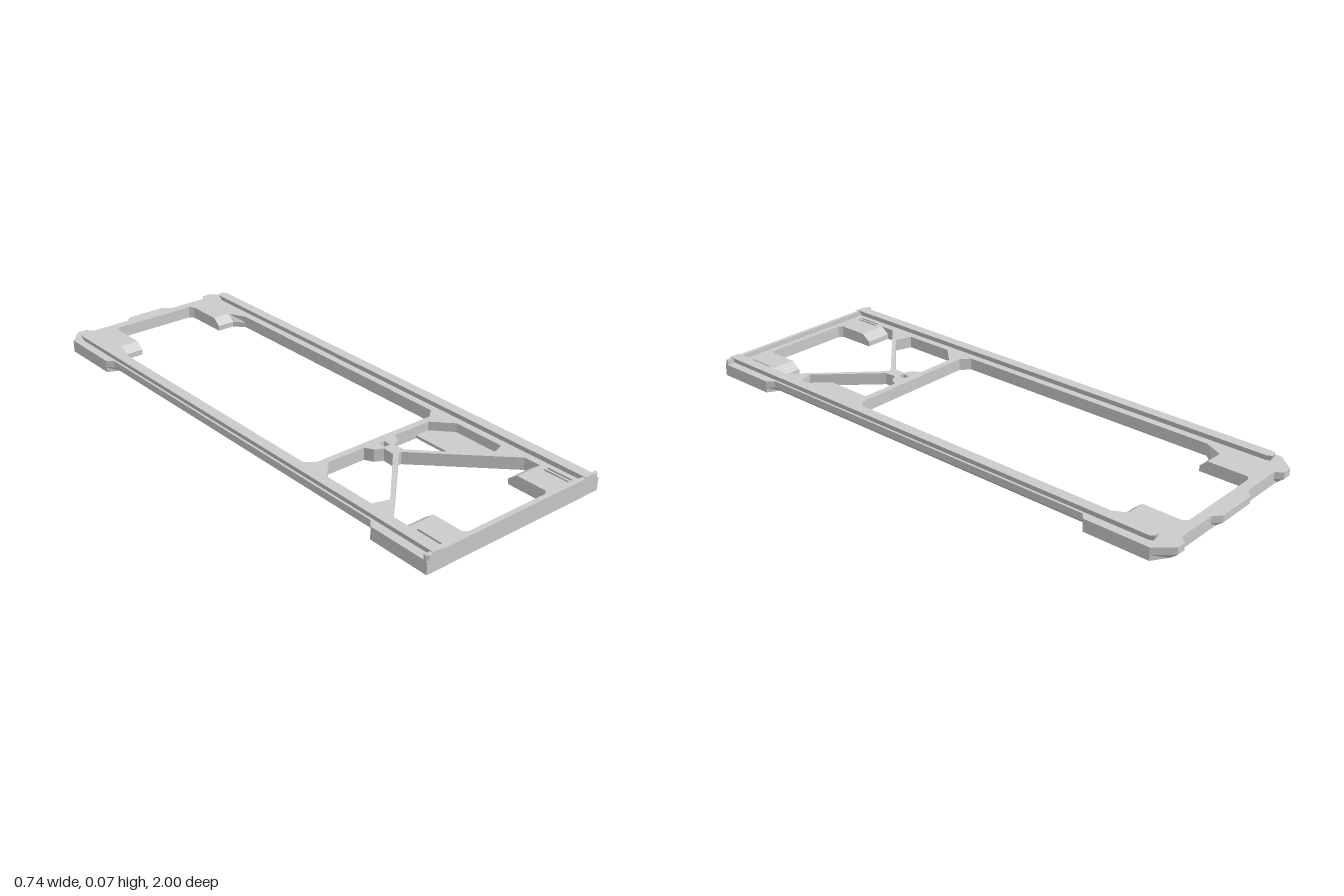
import * as THREE from 'three';

const material = new THREE.MeshStandardMaterial({ color: 0xcccccc, flatShading: true });
const near = (a, b) => Math.abs(a - b) < 0.0015;

// Points are [x, z]; mirrored() completes a half outline drawn on +x.
const mirrored = (half) => half.concat(half.map(([x, z]) => [-x, z]).reverse());
const flip = (pts) => pts.map(([x, z]) => [-x, z]).reverse();
const vectors = (pts) => pts.map(([x, z]) => new THREE.Vector2(x, z));
const rect = (x, z, w, d) => [[x - w / 2, z - d / 2], [x + w / 2, z - d / 2], [x + w / 2, z + d / 2], [x - w / 2, z + d / 2]];

// Horizontal slab between heights y0 and y1, optionally reshaped by a vertex rule
function slab(name, outline, holes, y0, y1, rule) {
  const shape = new THREE.Shape(vectors(outline));
  shape.holes = holes.map((h) => new THREE.Path(vectors(h)));
  const geo = new THREE.ExtrudeGeometry(shape, { depth: y1 - y0, bevelEnabled: false });
  geo.rotateX(Math.PI / 2).translate(0, y1, 0);
  if (rule) {
    const p = geo.attributes.position;
    const v = new THREE.Vector3();
    for (let i = 0; i < p.count; i++) {
      rule(v.fromBufferAttribute(p, i));
      p.setXYZ(i, v.x, v.y, v.z);
    }
    geo.computeVertexNormals();
  }
  const mesh = new THREE.Mesh(geo, material);
  mesh.name = name;
  return mesh;
}

export function createModel() {
  const model = new THREE.Group();
  model.name = 'frame';
  const mid = 0.02, top = 0.045;

  // Outer contour: rear bumps, corner blocks, slim side rails
  const outline = mirrored([
    [0.075, -1], [0.105, -0.975], [0.26, -0.975], [0.28, -1], [0.315, -1],
    [0.368, -0.94], [0.368, -0.7], [0.345, -0.68], [0.345, 0.74], [0.368, 0.765], [0.368, 1],
  ]);

  // Openings
  const mainOpening = mirrored([
    [0.165, -0.938], [0.18, -0.925], [0.18, -0.75], [0.25, -0.75],
    [0.285, -0.71], [0.285, 0.345], [0.25, 0.375],
  ]);
  const sideOpening = [
    [0.068, 0.4], [0.22, 0.4], [0.285, 0.47], [0.285, 0.67], [0.222, 0.69],
    [0.025, 0.49], [0.022, 0.445], [0.052, 0.43],
  ];
  const frontOpening = mirrored([
    [0.006, 0.497], [0.285, 0.772], [0.285, 0.8], [0.18, 0.8], [0.18, 0.95], [0.165, 0.962],
  ]);
  const pin = rect(0, 0.422, 0.024, 0.028);
  const slots = (z) => [-0.29, -0.274, 0.274, 0.29].map((x) => rect(x, z, 0.008, 0.1));
  const openings = [mainOpening, sideOpening, flip(sideOpening), frontOpening, pin, ...slots(0.91)];

  // Lower layer: chamfered underside on the rails and rear bumps, blind rear slots
  model.add(slab('lowerFrame', outline, openings.concat(slots(-0.85)), 0, mid, (v) => {
    if (v.y > 0.001) return;
    v.z = Math.max(v.z, -0.975);
    if (near(Math.abs(v.x), 0.345)) v.x = Math.sign(v.x) * 0.325;
  }));

  // Upper layer: the four inner tabs slope back toward the top
  model.add(slab('upperFrame', outline, openings, mid, top, (v) => {
    if (v.y < top - 0.001) return;
    if (near(v.z, -0.75)) v.z = -0.78;
    if (near(v.z, 0.8)) v.z = 0.835;
  }));

  // Thin floor panel in one side opening
  model.add(slab('floorPanel', [
    [0.165, 0.395], [0.29, 0.395], [0.29, 0.672], [0.222, 0.695], [0.165, 0.64],
  ], [], 0.001, 0.012));

  // Undercut guide ridges along both rails, with tapered rear tips
  for (const s of [-1, 1]) {
    const ridge = [[0.305, 1], [0.305, -0.92], [0.315, -0.935], [0.335, -0.935], [0.345, -0.92], [0.345, 1]];
    const pts = s > 0 ? ridge : flip(ridge);
    model.add(slab(s > 0 ? 'leftRidge' : 'rightRidge', pts, [], top - 0.001, 0.067, (v) => {
      if (v.y > 0.06) return;
      v.x = s * (0.325 + (Math.abs(v.x) - 0.325) * 0.55);
      if (v.z < 0) v.z += 0.01;
    }));
  }

  // Raised front lip with clipped ends
  model.add(slab('frontLip', mirrored([[0.368, 0.985], [0.368, 0.994], [0.36, 1]]), [], top - 0.001, 0.063));
  return model;
}
